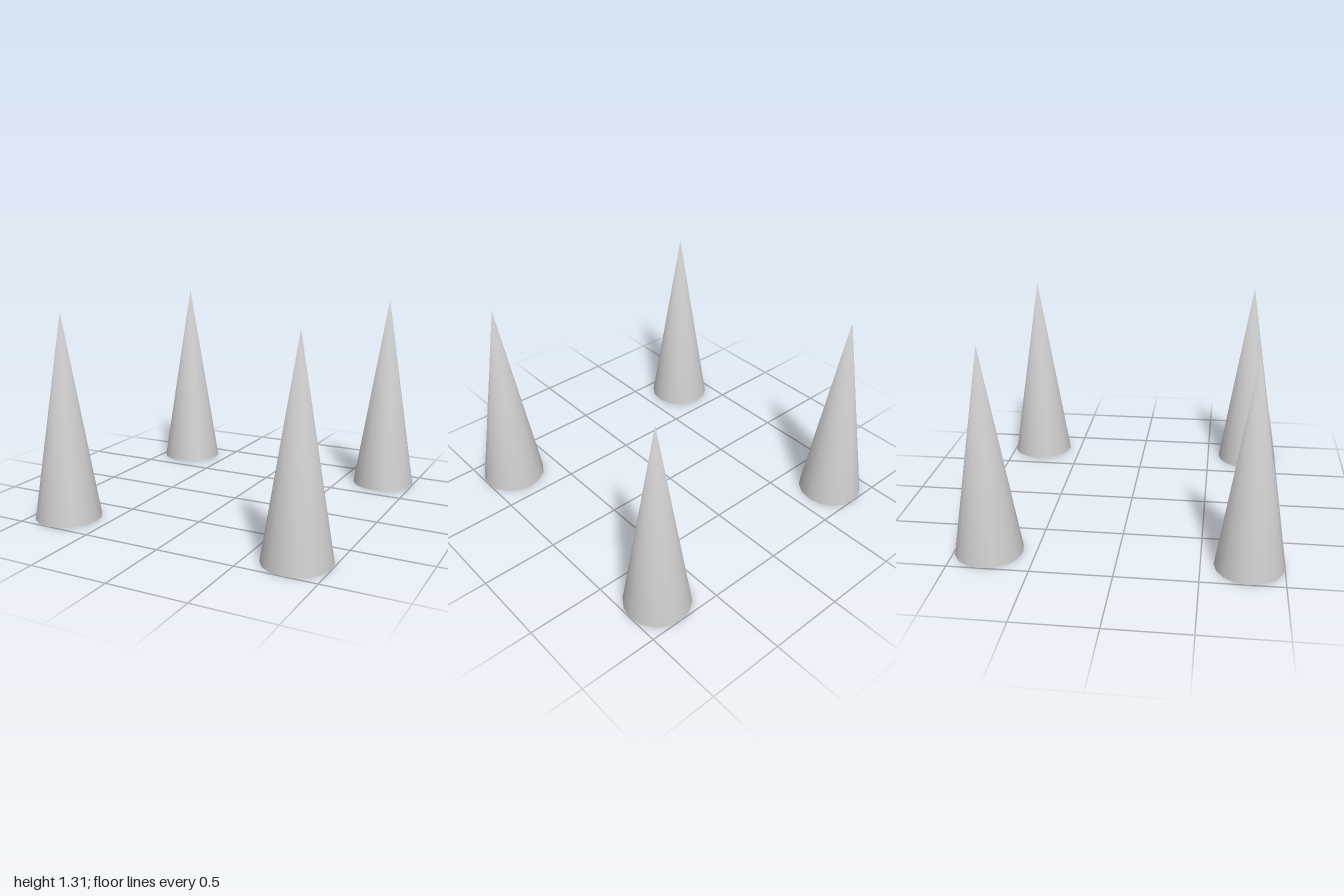
import * as THREE from 'three';
import { mergeVertices } from 'three/addons/utils/BufferGeometryUtils.js';

const RADIUS = 0.21;
const HEIGHT = 1.31;
const OFFSET = 0.79;

// Open-bottomed 16-sided cone whose apex and seam are welded, so shading is smooth up to the tip
function coneGeometry() {
  const cone = new THREE.ConeGeometry(RADIUS, HEIGHT, 16, 1, true);
  cone.deleteAttribute('normal');
  cone.deleteAttribute('uv');
  const welded = mergeVertices(cone, 1e-4);
  welded.computeVertexNormals();
  return welded.translate(0, HEIGHT / 2, 0);
}

export function createModel() {
  const model = new THREE.Group();
  model.name = 'cones';
  const material = new THREE.MeshStandardMaterial({ color: 0xcccccc, side: THREE.DoubleSide });
  const geometry = coneGeometry();

  // One cone at each corner of a square
  for (const [zName, z] of [['front', OFFSET], ['back', -OFFSET]]) {
    for (const [xName, x] of [['Left', OFFSET], ['Right', -OFFSET]]) {
      const cone = new THREE.Mesh(geometry, material);
      cone.name = `${zName}${xName}Cone`;
      cone.position.set(x, 0, z);
      model.add(cone);
    }
  }
  return model;
}
